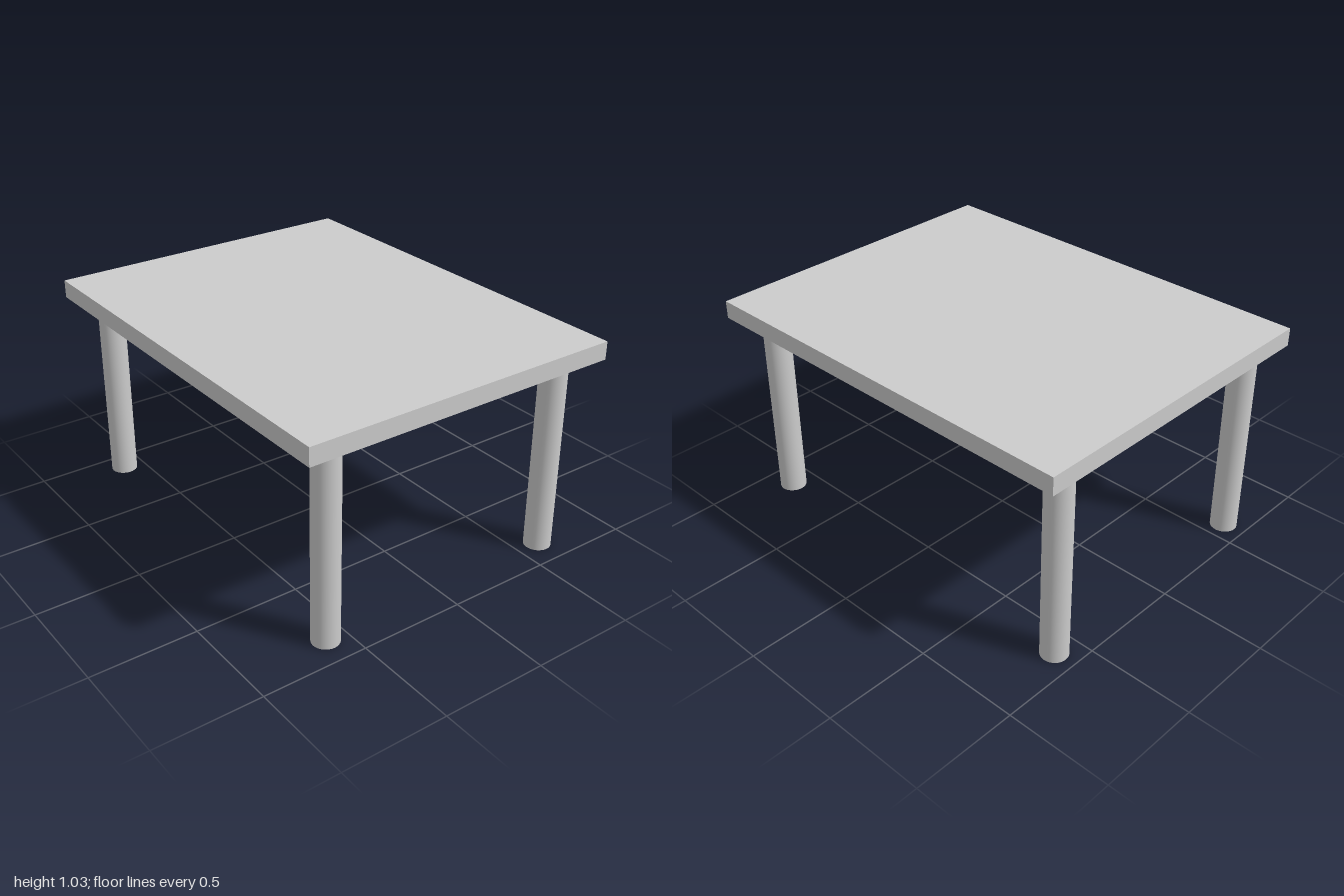
import * as THREE from 'three';

export function createModel() {
  const group = new THREE.Group();
  const solid = new THREE.MeshStandardMaterial({ color: 0xcccccc });
  const thin = new THREE.MeshStandardMaterial({ color: 0xcccccc, side: THREE.DoubleSide });

  const legHeight = 0.948;
  const topThickness = 0.085;

  // Flat rectangular slab
  const top = new THREE.Mesh(new THREE.BoxGeometry(2, topThickness, 1.556), solid);
  top.name = 'tableTop';
  top.position.y = legHeight + topThickness / 2;
  group.add(top);

  // Four hollow tube legs, open at the foot, set slightly off centre
  const legGeometry = new THREE.CylinderGeometry(0.0635, 0.0635, legHeight, 32, 1, true);
  for (const [side, x] of [['Left', 0.861], ['Right', -0.891]]) {
    for (const [end, z] of [['front', 0.601], ['back', -0.616]]) {
      const leg = new THREE.Mesh(legGeometry, thin);
      leg.name = `${end}${side}Leg`;
      leg.position.set(x, legHeight / 2, z);
      group.add(leg);
    }
  }
  return group;
}
